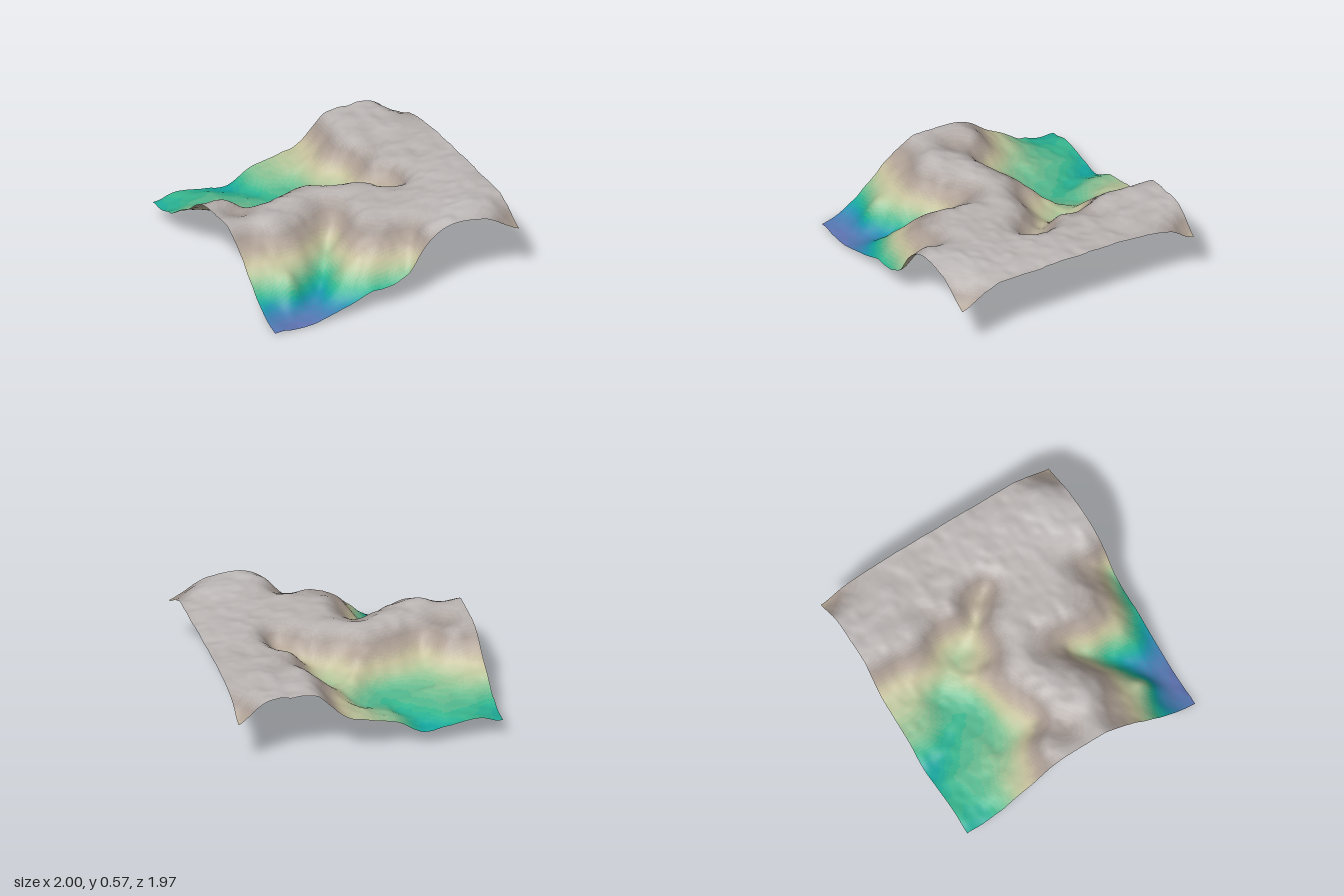
import * as THREE from 'three';

// Coarse elevations in hundredths: rows run back to front, columns left edge (-x) to right edge (+x)
const ELEVATION = [
  [14, 18, 16, 13, 24, 28, 34, 53, 55, 54, 38],
  [16, 19, 20, 17, 23, 27, 36, 54, 55, 54, 49],
  [26, 24, 22, 20, 19, 23, 39, 54, 55, 55, 53],
  [38, 33, 24, 22, 22, 28, 29, 48, 53, 54, 55],
  [52, 50, 34, 40, 45, 36, 33, 49, 54, 54, 55],
  [53, 48, 52, 54, 54, 53, 50, 39, 53, 55, 55],
  [53, 53, 54, 52, 47, 53, 54, 51, 55, 56, 55],
  [42, 43, 47, 41, 40, 53, 54, 55, 56, 56, 55],
  [25, 29, 27, 19, 42, 51, 54, 55, 57, 57, 55],
  [9, 9, 8, 20, 36, 44, 43, 56, 58, 57, 50],
  [2, 1, 4, 10, 17, 20, 40, 56, 57, 51, 40],
];

// Local knolls and gullies: x, z, radius, height change
const DETAILS = [
  [-0.73, 0.7, 0.06, 0.09],
  [-0.5, 0.7, 0.06, -0.05],
  [-0.3, 0.43, 0.07, -0.1],
  [-0.1, 0.45, 0.08, 0.03],
  [0.29, -0.1, 0.06, -0.05],
  [0.46, 0.1, 0.05, -0.04],
  [-0.3, -0.72, 0.06, -0.03],
  [-0.1, -0.28, 0.06, 0.05],
  [-0.04, -0.37, 0.04, 0.03],
  [0.12, 0.96, 0.05, -0.06],
  [0.28, 0.88, 0.05, 0.04],
  [-0.7, 0.3, 0.08, 0.03],
];

// Colour ramp by height
const RAMP = [
  [0, 0x5f6fae], [0.05, 0x3f7cb0], [0.09, 0x1c8fae], [0.13, 0x12a79c], [0.17, 0x30b48c],
  [0.22, 0x78bd90], [0.28, 0xb4c398], [0.33, 0xc6c09c], [0.4, 0xb0a294],
  [0.46, 0xa2968f], [0.52, 0xb6b0ae], [0.6, 0xc6c3c2],
];

const NX = 100, NZ = 98, HALF_Z = 0.985, BAND = 0.015;

function cubic(a, b, c, d, t) {
  return b + 0.5 * t * (c - a + t * (2 * a - 5 * b + 4 * c - d + t * (3 * (b - c) + d - a)));
}

// Catmull-Rom through an evenly spaced row
function sampleRow(row, u) {
  const n = row.length - 1;
  const i = Math.min(Math.floor(u), n - 1);
  const at = (k) => row[Math.max(0, Math.min(n, k))];
  return cubic(at(i - 1), at(i), at(i + 1), at(i + 2), u - i);
}

// Repeatable lattice value between -1 and 1
function lattice(i, j) {
  const s = Math.sin(i * 127.1 + j * 311.7) * 43758.5453;
  return 2 * (s - Math.floor(s)) - 1;
}

// Smooth value noise for the lumpy ground
function noise(x, z) {
  const i = Math.floor(x), j = Math.floor(z);
  const u = THREE.MathUtils.smoothstep(x - i, 0, 1), v = THREE.MathUtils.smoothstep(z - j, 0, 1);
  const lerp = THREE.MathUtils.lerp;
  return lerp(
    lerp(lattice(i, j), lattice(i + 1, j), u),
    lerp(lattice(i, j + 1), lattice(i + 1, j + 1), u), v);
}

function heightAt(x, z) {
  const u = (x + 1) * 5, v = (z / HALF_Z + 1) * 5;
  let h = sampleRow(ELEVATION.map((row) => sampleRow(row, u)), v) / 100;
  for (const [cx, cz, r, dh] of DETAILS) {
    h += dh * Math.exp(-((x - cx) ** 2 + (z - cz) ** 2) / (2 * r * r));
  }
  // Flatten the plateau tops
  if (h > 0.54) h = 0.54 + 0.04 * Math.tanh((h - 0.54) / 0.04);
  return h + 0.008 * noise(7 * x, 9 * z) + 0.006 * noise(15 * x + 3, 19 * z + 5);
}

function rampColor(h) {
  let i = 0;
  while (i < RAMP.length - 2 && h > RAMP[i + 1][0]) i++;
  const [h0, c0] = RAMP[i], [h1, c1] = RAMP[i + 1];
  const t = THREE.MathUtils.clamp((h - h0) / (h1 - h0), 0, 1);
  return new THREE.Color(c0).lerp(new THREE.Color(c1), t);
}

export function createModel() {
  const model = new THREE.Group();
  model.name = 'terrain';

  // Height field standing on y = 0
  const land = new THREE.PlaneGeometry(2, 2 * HALF_Z, NX, NZ).rotateX(-Math.PI / 2);
  const pos = land.attributes.position;
  let lowest = Infinity;
  for (let i = 0; i < pos.count; i++) {
    const h = heightAt(pos.getX(i), pos.getZ(i));
    pos.setY(i, h);
    lowest = Math.min(lowest, h);
  }
  land.translate(0, -lowest, 0);
  land.computeVertexNormals();

  // Sort the triangles into elevation bands, keeping the shared smooth normals
  const bands = new Map();
  const index = land.index.array;
  for (let i = 0; i < index.length; i += 3) {
    const tri = [index[i], index[i + 1], index[i + 2]];
    const mid = tri.reduce((sum, k) => sum + pos.getY(k), 0) / 3;
    const band = Math.floor(mid / BAND);
    if (!bands.has(band)) bands.set(band, []);
    bands.get(band).push(...tri);
  }

  // One coloured mesh per band
  for (const [band, triangles] of [...bands].sort((a, b) => a[0] - b[0])) {
    const whole = new THREE.BufferGeometry();
    whole.setAttribute('position', pos);
    whole.setAttribute('normal', land.attributes.normal);
    whole.setIndex(triangles);
    const material = new THREE.MeshStandardMaterial({
      color: rampColor((band + 0.5) * BAND), side: THREE.DoubleSide,
    });
    const mesh = new THREE.Mesh(whole.toNonIndexed(), material);
    mesh.name = `elevationBand${band}`;
    model.add(mesh);
  }
  return model;
}
